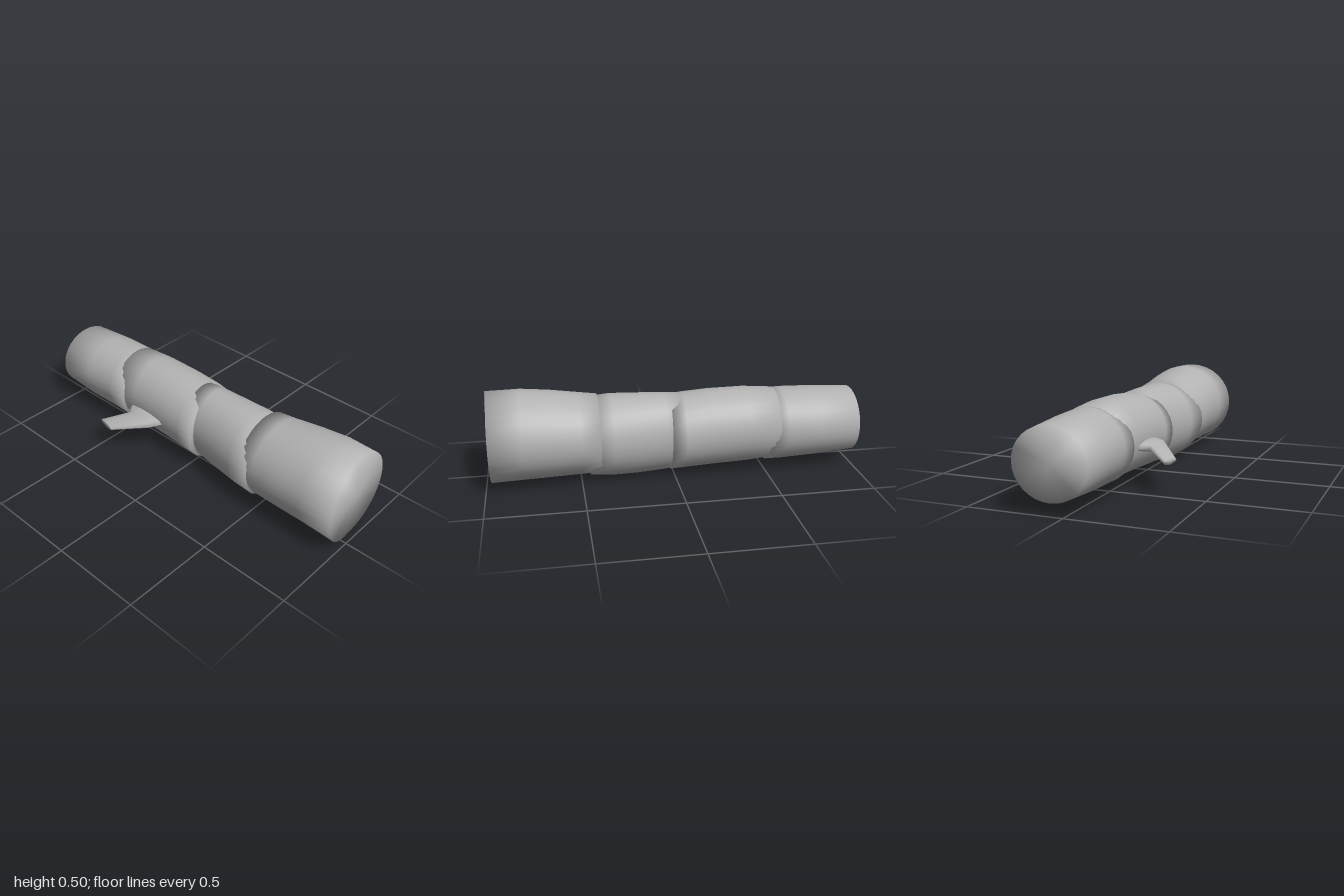
import * as THREE from 'three';

const SIDES = 32;

// Closed smooth skin over a list of rings (arrays of [x, y, z], counterclockwise about the path)
function loft(rings) {
  const n = rings[0].length, last = rings.length - 1;
  const pos = rings.flat(2), index = [];
  for (let i = 0; i < last; i++) {
    for (let j = 0; j < n; j++) {
      const a = i * n + j, b = i * n + (j + 1) % n;
      index.push(a, b, a + n, b, b + n, a + n);
    }
  }
  // end caps fanned from the middle of the first and last ring
  [0, last].forEach((r) => {
    const centre = pos.length / 3;
    for (let k = 0; k < 3; k++) pos.push(rings[r].reduce((s, p) => s + p[k], 0) / n);
    for (let j = 0; j < n; j++) {
      const a = r * n + j, b = r * n + (j + 1) % n;
      if (r === 0) index.push(centre, b, a);
      else index.push(centre, a, b);
    }
  });
  const g = new THREE.BufferGeometry();
  g.setAttribute('position', new THREE.Float32BufferAttribute(pos, 3));
  g.setIndex(index);
  g.computeVertexNormals();
  return g;
}

// Elliptical ring across x, given its extents; bulge pushes the front of the rim along x
function trunkRing([x, top, bottom, back, front], bulge) {
  return Array.from({ length: SIDES }, (_, j) => {
    const t = (j / SIDES) * Math.PI * 2, s = Math.sin(t);
    return [
      x + bulge * Math.max(0, s),
      (top + bottom) / 2 + ((top - bottom) / 2) * Math.cos(t),
      (front + back) / 2 + ((front - back) / 2) * s,
    ];
  });
}

// Flattened ring between a left and a right point of the twig
function twigRing([x0, z0, x1, z1, y, h]) {
  return Array.from({ length: 10 }, (_, j) => {
    const t = (j / 10) * Math.PI * 2, u = (1 + Math.cos(t)) / 2;
    return [x0 + (x1 - x0) * u, y + h * Math.sin(t), z0 + (z1 - z0) * u];
  });
}

// Overlapping trunk lengths, each ring: x, top, bottom, back, front
const SECTIONS = [
  { name: 'narrowEndSection', bulge: 0.03, rings: [
    [-1, 0.415, 0.062, -0.255, 0.128], [-0.78, 0.428, 0.047, -0.272, 0.138],
    [-0.6, 0.435, 0.038, -0.268, 0.128], [-0.51, 0.42, 0.035, -0.255, 0.125]] },
  { name: 'twigSection', bulge: 0.03, rings: [
    [-0.56, 0.438, 0.055, -0.262, 0.11], [-0.4, 0.45, 0.038, -0.268, 0.122],
    [-0.2, 0.447, 0.03, -0.271, 0.125], [-0.05, 0.435, 0.022, -0.273, 0.13],
    [0.02, 0.42, 0.018, -0.272, 0.13]] },
  { name: 'middleSection', bulge: 0.02, rings: [
    [-0.04, 0.438, 0.03, -0.235, 0.09], [0.05, 0.442, 0.014, -0.242, 0.1],
    [0.2, 0.445, 0.003, -0.252, 0.122], [0.33, 0.446, 0, -0.262, 0.145],
    [0.45, 0.43, 0.01, -0.268, 0.163]] },
  { name: 'wideEndSection', bulge: 0.03, rings: [
    [0.4, 0.45, 0.03, -0.28, 0.14], [0.5, 0.46, 0.025, -0.292, 0.165],
    [0.65, 0.482, 0.022, -0.305, 0.172], [0.8, 0.497, 0.019, -0.315, 0.175],
    [0.97, 0.493, 0.012, -0.313, 0.178]] },
];

// Twig rings from root to tip: left x, z, right x, z, height, half thickness
const TWIG = [
  [-0.45, 0.08, -0.15, 0.09, 0.212, 0.03],
  [-0.42, 0.13, -0.175, 0.135, 0.21, 0.028],
  [-0.39, 0.17, -0.205, 0.18, 0.205, 0.027],
  [-0.5, 0.285, -0.385, 0.308, 0.165, 0.016],
];

export function createModel() {
  const log = new THREE.Group();
  log.name = 'log';
  const grey = new THREE.MeshStandardMaterial({ color: 0xb3b3b3 });
  grey.name = 'grey wood';

  const add = (name, geometry) => {
    const mesh = new THREE.Mesh(geometry, grey);
    mesh.name = name;
    log.add(mesh);
  };

  for (const { name, bulge, rings } of SECTIONS) {
    add(name, loft(rings.map((r, i) => trunkRing(r, i === rings.length - 1 ? bulge : 0))));
  }
  add('twig', loft(TWIG.map(twigRing)));
  return log;
}
